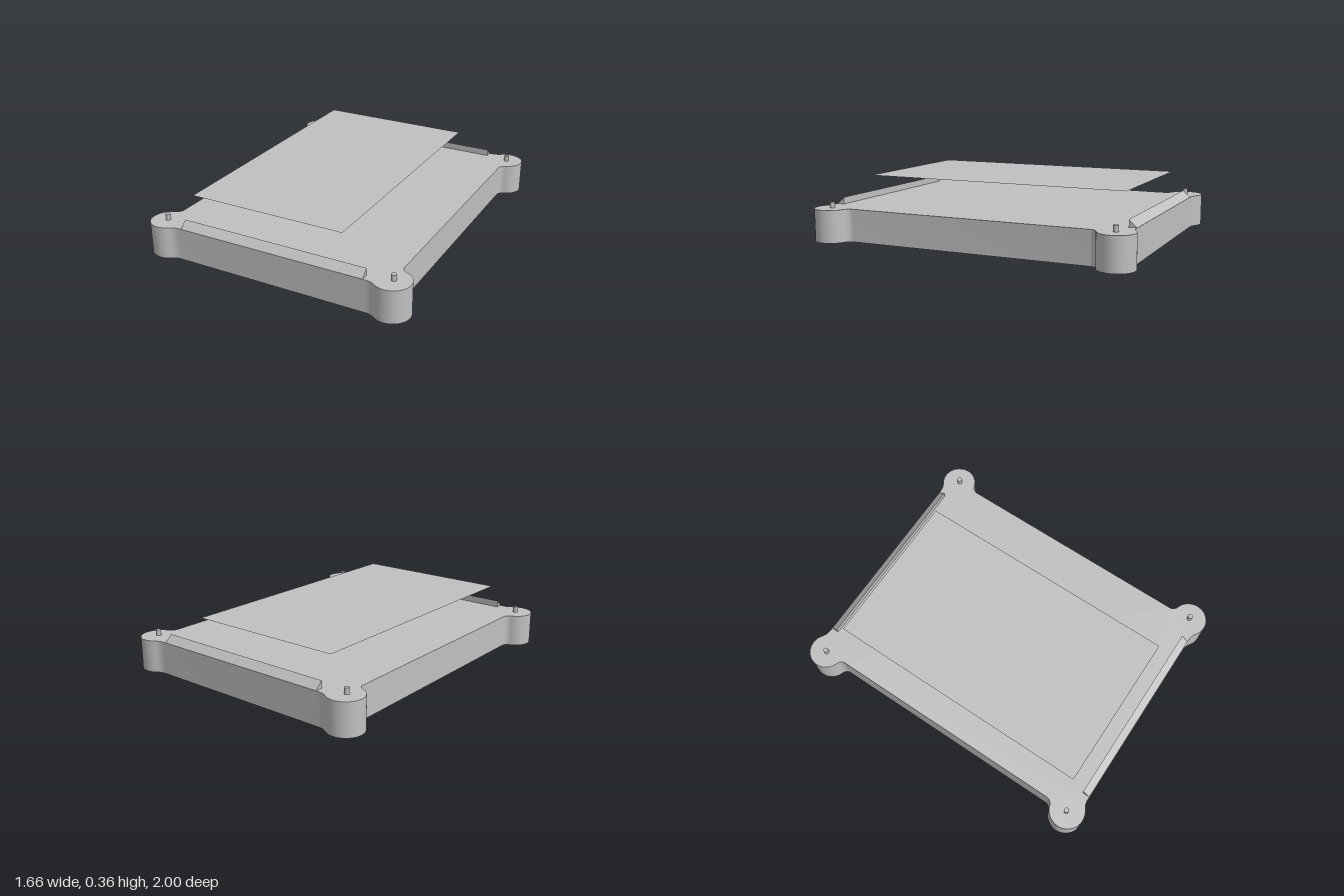
import * as THREE from 'three';
import { toCreasedNormals } from 'three/addons/utils/BufferGeometryUtils.js';

const HALF_W = 0.725, HALF_D = 0.96, HEIGHT = 0.198;
const LOBE = { x: 0.725, y: 0.893, r: 0.107 };

function arc(cx, cy, r, from, to, steps) {
  return Array.from({ length: steps + 1 }, (_, i) => {
    const a = from + (to - from) * i / steps;
    return new THREE.Vector2(cx + r * Math.cos(a), cy + r * Math.sin(a));
  });
}

// One quarter of the outline: side fillet, round corner lobe, end fillet
function quarterOutline() {
  const f1 = 0.045, f2 = 0.1;
  const ax = HALF_W + f1;
  const ay = LOBE.y - Math.sqrt((LOBE.r + f1) ** 2 - (ax - LOBE.x) ** 2);
  const by = HALF_D + f2;
  const bx = LOBE.x - Math.sqrt((LOBE.r + f2) ** 2 - (by - LOBE.y) ** 2);
  const toA = Math.atan2(ay - LOBE.y, ax - LOBE.x);
  const toB = Math.atan2(by - LOBE.y, bx - LOBE.x);
  return [
    ...arc(ax, ay, f1, Math.PI, toA + Math.PI, 8),
    ...arc(LOBE.x, LOBE.y, LOBE.r, toA, toB, 32).slice(1),
    ...arc(bx, by, f2, toB - Math.PI, -Math.PI / 2, 8).slice(1),
  ];
}

export function createModel() {
  const model = new THREE.Group();
  const grey = new THREE.MeshStandardMaterial({ color: 0xc0c0c0, side: THREE.DoubleSide });
  grey.name = 'light grey';

  const add = (name, geometry, x = 0, y = 0, z = 0) => {
    const mesh = new THREE.Mesh(geometry, grey);
    mesh.name = name;
    mesh.position.set(x, y, z);
    model.add(mesh);
    return mesh;
  };

  // Base slab with four lobed corners
  const q = quarterOutline();
  const mirror = (sx, sy) => q.map(p => new THREE.Vector2(p.x * sx, p.y * sy));
  const outline = [
    ...q, ...mirror(-1, 1).reverse(), ...mirror(-1, -1), ...mirror(1, -1).reverse(),
  ];
  const slab = new THREE.ExtrudeGeometry(new THREE.Shape(outline), { depth: HEIGHT, bevelEnabled: false });
  slab.rotateX(-Math.PI / 2);
  add('base', toCreasedNormals(slab, Math.PI / 5));

  // Locating pins on the corners
  const pin = new THREE.CylinderGeometry(0.015, 0.015, 0.036, 24);
  for (const sx of [-1, 1]) for (const sz of [-1, 1]) {
    add('cornerPin', pin, sx * 0.73, HEIGHT + 0.018, sz * 0.89);
  }

  // Wedge ridges along both ends: upright inner face, slope falling outwards
  const wedge = new THREE.Shape([
    new THREE.Vector2(-0.913, 0), new THREE.Vector2(-0.913, 0.042), new THREE.Vector2(-0.959, 0),
  ]);
  const ridge = new THREE.ExtrudeGeometry(wedge, { depth: 1.17, bevelEnabled: false });
  ridge.translate(0, 0, -0.585);
  for (const [name, turn] of [['frontRidge', Math.PI / 2], ['backRidge', -Math.PI / 2]]) {
    add(name, ridge, 0, HEIGHT, 0).rotation.y = turn;
  }

  // Thin sheet hovering above the base
  const sheet = new THREE.PlaneGeometry(0.98, 1.67);
  sheet.rotateX(-Math.PI / 2);
  add('sheet', sheet, -0.092, 0.36, -0.003);

  return model;
}
